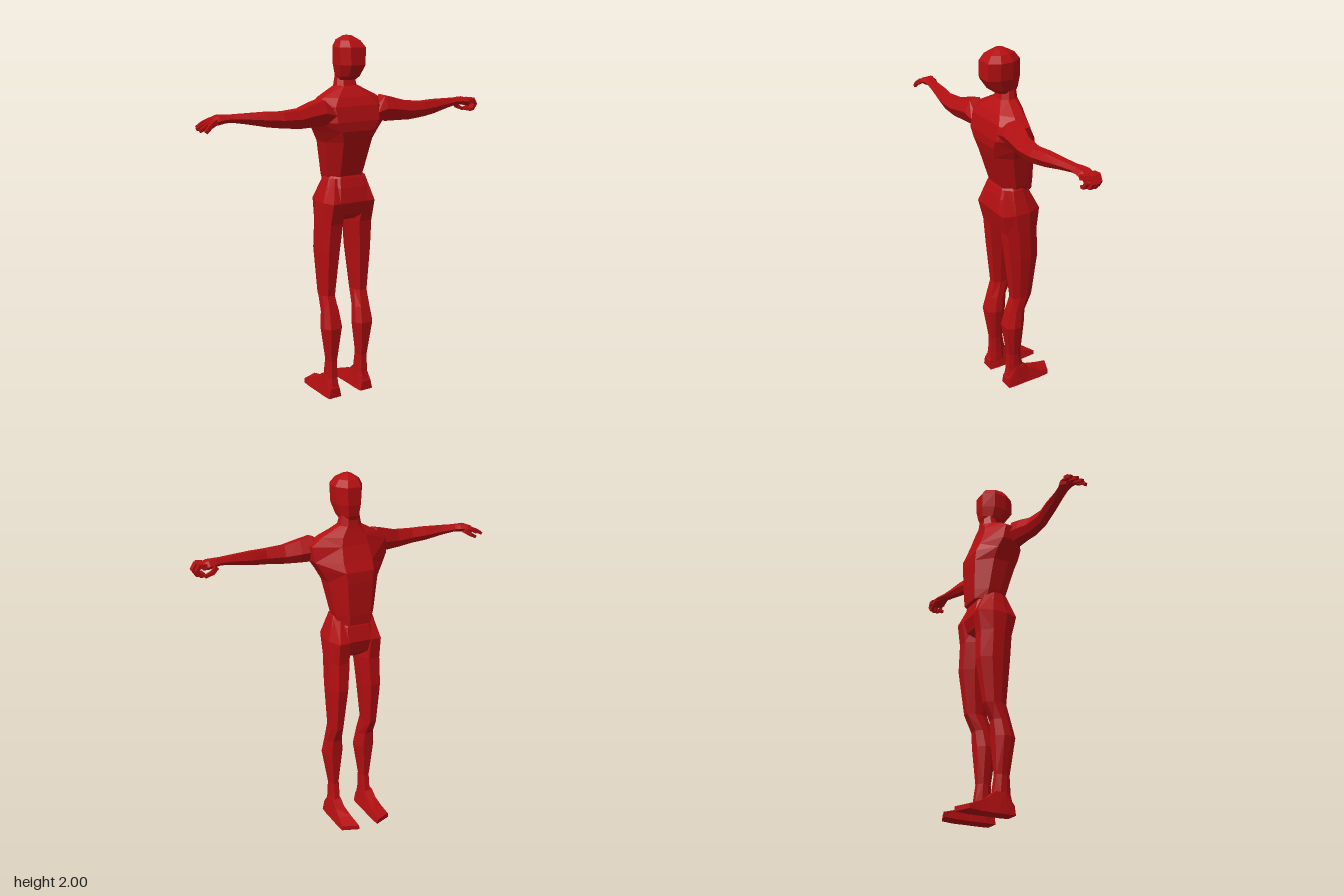
import * as THREE from 'three';

const MID = 0.012; // body's mirror plane
const red = new THREE.MeshStandardMaterial({ color: 0xb40f11 });
red.name = 'red';

// Faceted skin over a row of closed rings, with capped ends facing outwards
function loft(rings) {
  const tris = [];
  const n = rings[0].length;
  for (let i = 0; i < rings.length - 1; i++) {
    for (let j = 0; j < n; j++) {
      const k = (j + 1) % n;
      const [a, b, c, d] = [rings[i][j], rings[i][k], rings[i + 1][k], rings[i + 1][j]];
      if ((i + j) % 2) tris.push([a, b, c], [a, c, d]);
      else tris.push([a, b, d], [b, c, d]);
    }
  }
  const last = rings[rings.length - 1];
  for (let j = 1; j < n - 1; j++) {
    tris.push([rings[0][0], rings[0][j + 1], rings[0][j]], [last[0], last[j], last[j + 1]]);
  }
  const cross = new THREE.Vector3();
  let volume = 0;
  for (const [a, b, c] of tris) volume += a.dot(cross.crossVectors(b, c));
  const points = tris.flatMap(([a, b, c]) => (volume > 0 ? [a, b, c] : [a, c, b]));
  const geometry = new THREE.BufferGeometry().setFromPoints(points);
  geometry.computeVertexNormals();
  return geometry;
}

// Level eight-sided ring: height, centre, half width, z span, narrowing at -z and +z
function levelRing([y, cx, hx, z0, z1, near = 0.5, far = 0.6], side = 1) {
  const d = z1 - z0;
  const half = [[near, 0], [1, 0.33], [1, 0.7], [far, 1]];
  const outline = [...half, ...half.map(([w, t]) => [-w, t]).reverse()];
  return outline.map(([w, t]) => new THREE.Vector3(MID + side * (cx + w * hx), y, z0 + t * d));
}

// Upright six-sided ring across an arm: distance out, y span, z span
function armRing([u, y0, y1, z0, z1], side) {
  const outline = [[0, 0.45], [0.25, 1], [0.75, 0.95], [1, 0.5], [0.7, 0], [0.2, 0.05]];
  return outline.map(([t, s]) =>
    new THREE.Vector3(MID + side * u, y0 + (y1 - y0) * s, z0 + (z1 - z0) * t));
}

// Four-sided tapering finger along a bent path
function finger(path, radius, side) {
  const pts = path.map(([u, y, z]) => new THREE.Vector3(MID + side * u, y, z));
  const across = new THREE.Vector3(0, 0, 1);
  return loft(pts.map((p, i) => {
    const along = pts[Math.min(i + 1, pts.length - 1)].clone().sub(pts[Math.max(i - 1, 0)]);
    const up = along.cross(across).normalize();
    const r = radius * (1 - 0.4 * i / (pts.length - 1));
    return [[1, 0.7], [-1, 0.7], [-1, -0.7], [1, -0.7]].map(([a, b]) =>
      p.clone().addScaledVector(up, a * r).addScaledVector(across, b * r * 1.3));
  }));
}

export function createModel() {
  const model = new THREE.Group();
  model.name = 'figure';
  const add = (name, geometry, parent = model) => {
    const mesh = new THREE.Mesh(geometry, red);
    mesh.name = name;
    parent.add(mesh);
  };

  add('head', loft([
    [1.77, 0, 0.046, -0.005, 0.1],
    [1.79, 0, 0.056, -0.012, 0.135],
    [1.85, 0, 0.072, -0.02, 0.175],
    [1.94, 0, 0.078, -0.018, 0.172],
    [1.975, -0.005, 0.058, 0.005, 0.145],
    [2.0, -0.008, 0.018, 0.055, 0.1],
  ].map((r) => levelRing(r))));

  add('neck', loft([
    [1.66, 0, 0.1, -0.02, 0.13],
    [1.73, 0, 0.064, -0.008, 0.095],
    [1.8, 0, 0.05, 0.0, 0.075],
  ].map((r) => levelRing(r))));

  // Broad shoulders: narrow chest at -z, wide back at +z
  add('torso', loft([
    [1.215, 0, 0.1, -0.08, 0.09, 0.6, 0.6],
    [1.27, 0, 0.115, -0.084, 0.11, 0.55, 0.6],
    [1.45, 0, 0.148, -0.086, 0.163, 0.5, 0.55],
    [1.51, 0, 0.18, -0.083, 0.18, 0.45, 0.55],
    [1.56, 0, 0.212, -0.06, 0.182, 0.4, 0.6],
    [1.64, 0, 0.22, -0.03, 0.165, 0.35, 0.6],
    [1.685, 0, 0.165, -0.018, 0.14, 0.4, 0.6],
    [1.74, 0, 0.062, -0.005, 0.095, 0.5, 0.6],
  ].map((r) => levelRing(r))));

  add('pelvis', loft([
    [1.02, 0, 0.05, -0.03, 0.09],
    [1.05, 0, 0.115, -0.065, 0.125],
    [1.12, 0, 0.143, -0.085, 0.143],
    [1.2, 0, 0.13, -0.065, 0.128],
    [1.25, 0, 0.116, -0.04, 0.112],
    [1.275, 0, 0.085, -0.03, 0.1],
  ].map((r) => levelRing(r))));

  const legRings = [
    [1.25, 0.07, 0.045, -0.03, 0.1],
    [1.12, 0.095, 0.058, -0.09, 0.143],
    [1.0, 0.092, 0.064, -0.075, 0.112],
    [0.84, 0.1, 0.056, -0.08, 0.097],
    [0.59, 0.105, 0.037, -0.045, 0.075],
    [0.5, 0.102, 0.047, 0.0, 0.1],
    [0.41, 0.102, 0.057, 0.008, 0.122],
    [0.21, 0.1, 0.028, 0.02, 0.096],
    [0.11, 0.1, 0.03, 0.005, 0.1],
    [0.05, 0.102, 0.036, -0.005, 0.112],
  ];
  // Foot slices: z, height of sole and top, half widths of sole and top, toe slant
  const footRings = [
    [0.114, 0, 0.055, 0.04, 0.028, 0],
    [0.06, 0, 0.12, 0.044, 0.028, 0],
    [0.005, 0, 0.115, 0.044, 0.026, 0],
    [-0.035, 0, 0.08, 0.044, 0.028, 0],
    [-0.1, 0, 0.052, 0.046, 0.036, 0.01],
    [-0.17, 0.005, 0.03, 0.047, 0.045, 0.018],
  ];
  const armRings = [
    [0.13, 1.565, 1.63, 0.08, 0.175],
    [0.19, 1.545, 1.685, 0.055, 0.18],
    [0.26, 1.545, 1.668, 0.07, 0.182],
    [0.34, 1.545, 1.645, 0.095, 0.188],
    [0.44, 1.555, 1.638, 0.108, 0.185],
    [0.52, 1.565, 1.64, 0.095, 0.172],
    [0.62, 1.585, 1.638, 0.087, 0.152],
    [0.7, 1.598, 1.636, 0.075, 0.138],
    [0.73, 1.597, 1.637, 0.062, 0.137],
    [0.77, 1.59, 1.637, 0.05, 0.142],
    [0.8, 1.59, 1.625, 0.052, 0.142],
  ];

  for (const side of [-1, 1]) {
    const label = side > 0 ? 'left' : 'right';
    add(label + 'Leg', loft(legRings.map((r) => levelRing(r, side))));

    add(label + 'Foot', loft(footRings.map(([z, y0, y1, w0, w1, slant]) =>
      [[-w0, y0], [w0, y0], [w1, y1], [-w1, y1]].map(([w, y]) =>
        new THREE.Vector3(MID + side * (0.105 + w), y, z + slant * Math.sign(w))))));

    const arm = new THREE.Group();
    arm.name = label + 'Arm';
    model.add(arm);
    add(label + 'ArmAndPalm', loft(armRings.map((r) => armRing(r, side))), arm);

    // One hand hangs open, the other curls into a loose fist
    const open = side < 0;
    for (let i = 0; i < 4; i++) {
      const z = 0.064 + i * 0.022;
      const reach = [0, 0.012, 0.01, -0.008][i];
      const spread = (i - 1.5) * 0.006;
      const path = open
        ? [[0.785, 1.612, z], [0.825, 1.598 - i * 0.003, z + spread],
          [0.858 + reach, 1.578 - i * 0.005, z + spread * 1.5]]
        : [[0.785, 1.612, z], [0.822 + reach, 1.618, z], [0.836 + reach, 1.596, z],
          [0.82 + reach, 1.57, z], [0.79, 1.565, z]];
      add(label + 'Finger' + (i + 1), finger(path, 0.013, side), arm);
    }
    const thumb = open
      ? [[0.75, 1.605, 0.062], [0.785, 1.58, 0.05], [0.82, 1.562, 0.052]]
      : [[0.735, 1.605, 0.062], [0.76, 1.58, 0.052], [0.8, 1.562, 0.058]];
    add(label + 'Thumb', finger(thumb, 0.013, side), arm);
  }
  return model;
}
